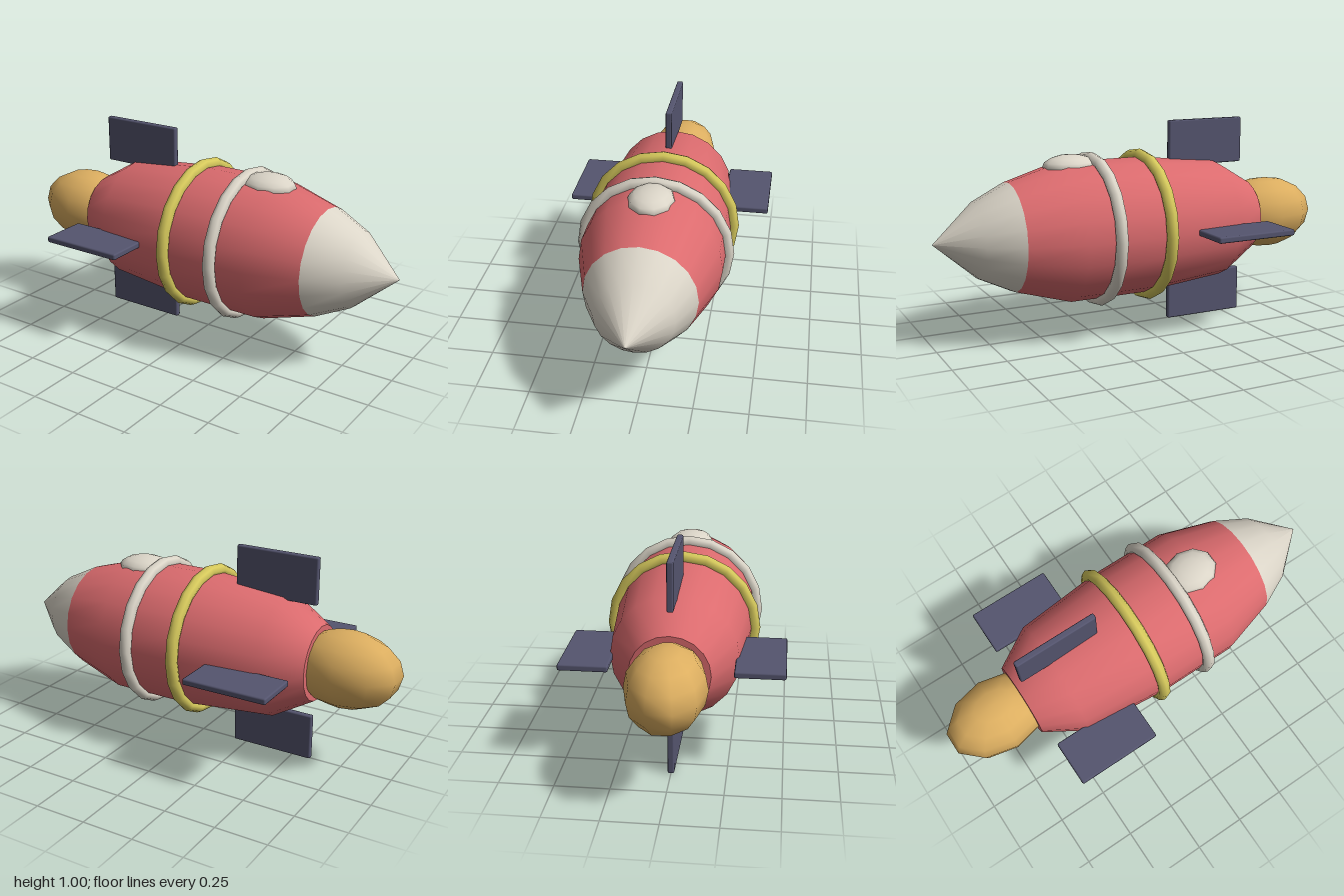
import * as THREE from 'three';
import { RoundedBoxGeometry } from 'three/addons/geometries/RoundedBoxGeometry.js';

const SIDES = 20;
const AXIS_Y = 0.5;

function makeMaterial(name, color) {
  const m = new THREE.MeshStandardMaterial({ color });
  m.name = name;
  return m;
}

export function createModel() {
  const red = makeMaterial('hull red', 0xdb6b6e);
  const cream = makeMaterial('cream', 0xdbd5c8);
  const slate = makeMaterial('fin slate', 0x55556f);
  const yellow = makeMaterial('band yellow', 0xd6c95c);
  const amber = makeMaterial('flame amber', 0xdcae60);

  const rocket = new THREE.Group();
  rocket.name = 'rocket';
  rocket.position.y = AXIS_Y;

  function add(name, geometry, material, parent = rocket) {
    const mesh = new THREE.Mesh(geometry, material);
    mesh.name = name;
    parent.add(mesh);
    return mesh;
  }

  // Turned shape along the x axis, from [x, radius] pairs
  function turned(profile) {
    const points = profile.map(([x, r]) => new THREE.Vector2(r, x));
    return new THREE.LatheGeometry(points, SIDES).rotateZ(-Math.PI / 2);
  }

  // Low-poly ellipsoid with a flat facet on each x end
  function ellipsoid(rx, ry, rz) {
    return new THREE.SphereGeometry(1, 10, 8).rotateY(Math.PI / 2)
      .scale(rx / Math.cos(Math.PI / 10), ry, rz);
  }

  // Hull and nose
  add('hull', turned([[-0.62, 0.18], [-0.43, 0.292], [0, 0.332], [0.38, 0.332], [0.64, 0.255]]), red);
  add('nose', turned([[0.64, 0.255], [0.8, 0.177], [1, 0]]), cream);
  const tail = add('tailCap', new THREE.CircleGeometry(0.18, SIDES).rotateY(-Math.PI / 2), red);
  tail.position.x = -0.62;

  // Bands around the hull
  for (const [name, x, material] of [['rearBand', -0.03, yellow], ['frontBand', 0.227, cream]]) {
    const band = add(name, new THREE.TorusGeometry(0.34, 0.03, 8, SIDES).rotateY(Math.PI / 2), material);
    band.position.x = x;
  }

  // Domed canopy on top
  add('canopy', ellipsoid(0.125, 0.055, 0.108), cream).position.set(0.335, 0.31, 0);

  // Exhaust flame
  add('flame', ellipsoid(0.25, 0.18, 0.18), amber).position.x = -0.75;

  // Four fins around the tail
  const finGeometry = new RoundedBoxGeometry(0.41, 0.225, 0.03, 1, 0.008);
  for (let i = 0; i < 4; i++) {
    const pivot = new THREE.Group();
    pivot.name = 'finPivot' + (i + 1);
    pivot.rotation.x = i * Math.PI / 2;
    rocket.add(pivot);
    add('fin', finGeometry, slate, pivot).position.set(-0.39, 0.3875, 0);
  }

  const model = new THREE.Group();
  model.name = 'model';
  model.add(rocket);
  return model;
}
